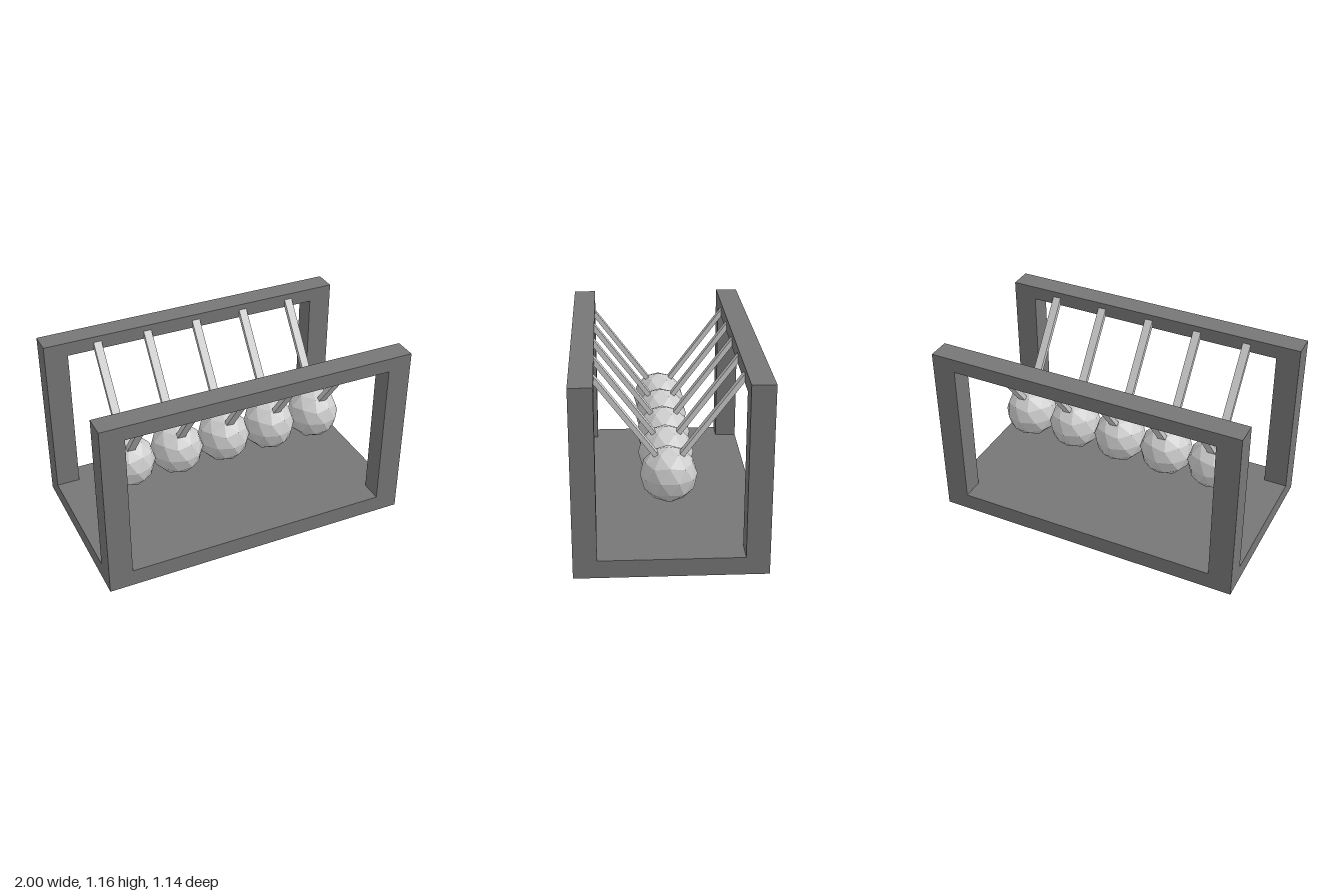
import * as THREE from 'three';

const frameMat = new THREE.MeshStandardMaterial({ color: 0x777777, flatShading: true });
const greyMat = new THREE.MeshStandardMaterial({ color: 0xcccccc, flatShading: true });

function addMesh(parent, name, geometry, material) {
  const mesh = new THREE.Mesh(geometry, material);
  mesh.name = name;
  parent.add(mesh);
  return mesh;
}

// Box given by its minimum and maximum corners
function addBox(parent, name, [x0, y0, z0], [x1, y1, z1], material) {
  const mesh = addMesh(parent, name, new THREE.BoxGeometry(x1 - x0, y1 - y0, z1 - z0), material);
  mesh.position.set((x0 + x1) / 2, (y0 + y1) / 2, (z0 + z1) / 2);
}

// Upright window frame: a rectangle with a rectangular hole, standing on the base
function sideFrameGeometry() {
  const shape = new THREE.Shape([[-1, 0.11], [-0.85, 0.11], [-0.85, 1.07], [0.85, 1.07],
    [0.85, 0.11], [1, 0.11], [1, 1.16], [-1, 1.16]].map(([x, y]) => new THREE.Vector2(x, y)));
  return new THREE.ExtrudeGeometry(shape, { depth: 0.14, bevelEnabled: false });
}

export function createModel() {
  const model = new THREE.Group();
  model.name = 'swingingBallsToy';

  // Base slab and the two upright frames
  addBox(model, 'base', [-1, 0, -0.568], [1, 0.11, 0.568], frameMat);
  const frameGeo = sideFrameGeometry();
  addMesh(model, 'frontFrame', frameGeo, frameMat).position.z = 0.428;
  addMesh(model, 'backFrame', frameGeo, frameMat).position.z = -0.568;

  // Faceted ball with a corner at the top
  const ballGeo = new THREE.IcosahedronGeometry(0.17, 1);
  ballGeo.rotateZ(Math.atan(2 / (1 + Math.sqrt(5))));

  // Rod from inside the ball up into the rail
  const low = new THREE.Vector2(0.055, 0.602);
  const high = new THREE.Vector2(0.45, 1.127);
  const run = high.clone().sub(low);
  const rodGeo = new THREE.BoxGeometry(0.052, run.length(), 0.03);
  const lean = Math.atan2(run.x, run.y);

  for (let i = -2; i <= 2; i++) {
    const pendulum = new THREE.Group();
    pendulum.name = `pendulum${i + 3}`;
    model.add(pendulum);
    addMesh(pendulum, 'ball', ballGeo, greyMat).position.set(0.009 + i * 0.326, 0.495, 0);
    for (const side of [1, -1]) {
      const rod = addMesh(pendulum, side > 0 ? 'frontRod' : 'backRod', rodGeo, greyMat);
      rod.position.set(0.015 + i * 0.334, (low.y + high.y) / 2, side * (low.x + high.x) / 2);
      rod.rotation.x = side * lean;
    }
  }
  return model;
}
